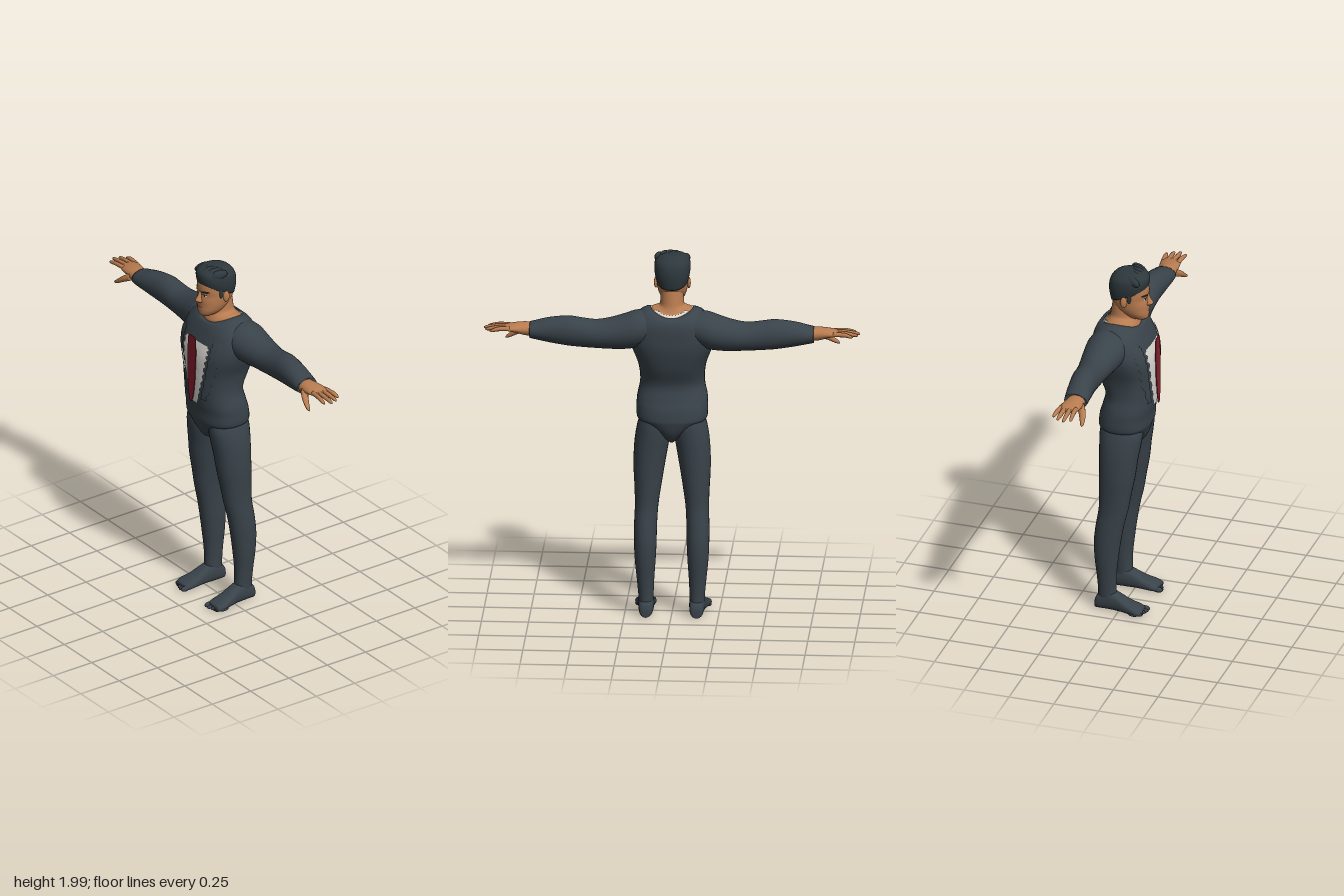
import * as THREE from 'three';

const mat = (name, color, side = THREE.FrontSide) => {
  const m = new THREE.MeshStandardMaterial({ color, side });
  m.name = name;
  return m;
};

// Catmull-Rom resampling of cross-section rows
function smooth(rows, k = 5) {
  const out = [], at = i => rows[Math.min(Math.max(i, 0), rows.length - 1)];
  for (let i = 0; i < rows.length - 1; i++)
    for (let j = 0; j < k; j++) {
      const t = j / k;
      out.push(rows[i].map((b, c) => {
        const a = at(i - 1)[c], d = at(i + 1)[c], e = at(i + 2)[c];
        return b + 0.5 * t * (d - a + t * (2 * a - 5 * b + 4 * d - e + t * (3 * (b - d) + e - a)));
      }));
    }
  out.push(rows.at(-1));
  return out;
}

// Skin closed rings of points into one smooth solid that faces outward
function loft(rings, capEnd = true) {
  const n = rings[0].length, pts = rings.flat(), idx = [];
  for (let i = 0; i < rings.length - 1; i++)
    for (let j = 0; j < n; j++) {
      const a = i * n + j, b = i * n + (j + 1) % n;
      idx.push(a, b, a + n, b, b + n, a + n);
    }
  const cap = (r, flip) => {
    const c = new THREE.Vector3();
    rings[r].forEach(p => c.addScaledVector(p, 1 / n));
    const id = pts.push(c) - 1;
    for (let j = 0; j < n; j++) {
      const a = r * n + j, b = r * n + (j + 1) % n;
      idx.push(id, flip ? b : a, flip ? a : b);
    }
  };
  cap(0, true);
  if (capEnd) cap(rings.length - 1, false);
  const mid = pts.reduce((s, p) => s.addScaledVector(p, 1 / pts.length), new THREE.Vector3());
  const q = pts.map(p => p.clone().sub(mid)), tmp = new THREE.Vector3();
  let vol = 0;
  for (let i = 0; i < idx.length; i += 3) vol += q[idx[i]].dot(tmp.crossVectors(q[idx[i + 1]], q[idx[i + 2]]));
  if (vol < 0) idx.reverse();
  const g = new THREE.BufferGeometry().setFromPoints(pts);
  g.setIndex(idx);
  g.computeVertexNormals();
  return g;
}

// Superellipse points in the unit square
const unitRing = (n, count) => Array.from({ length: count }, (_, i) => {
  const a = i / count * Math.PI * 2, f = v => Math.sign(v) * Math.abs(v) ** (2 / n);
  return [f(Math.cos(a)), f(Math.sin(a))];
});
// Row: y, half width, front z, back z, exponent, side lift, front lift
const bodyRing = ([y, w, zf, zb, n, lift, tilt]) => unitRing(n, 40).map(([u, v]) =>
  new THREE.Vector3(u * w, y + lift * u * u + tilt * v, (zf + zb) / 2 + v * (zf - zb) / 2));
// Row along x: x, top y, bottom y, front z, back z
const armRing = (s, count) => ([x, t, b, zf, zb]) => unitRing(2, count).map(([u, v]) =>
  new THREE.Vector3(s * x, (t + b) / 2 + v * (t - b) / 2, (zf + zb) / 2 + u * (zf - zb) / 2));

// Front surface of a body at x, y
function frontZ(rows, x, y) {
  let i = rows.findIndex(r => r[0] >= y);
  if (i < 1) i = 1;
  const t = (y - rows[i - 1][0]) / (rows[i][0] - rows[i - 1][0]);
  const [, w, zf, zb, n] = rows[i].map((v, c) => rows[i - 1][c] + t * (v - rows[i - 1][c]));
  return (zf + zb) / 2 + (zf - zb) / 2 * Math.max(0, 1 - Math.abs(x / w) ** n) ** (1 / n);
}
// Thin patch laid on a body's front; outline rows: y, x from, x to (rising y)
function patch(body, outline, off, s = 1) {
  const C = 12, pts = [], idx = [];
  outline.forEach(([y, a, b], r) => {
    for (let c = 0; c <= C; c++) {
      const x = s * (a + (b - a) * c / C);
      pts.push(new THREE.Vector3(x, y, frontZ(body, x, y) + off));
      if (r && c) {
        const p = r * (C + 1) + c, q = p - C - 1;
        idx.push(q - 1, q, p, q - 1, p, p - 1);
      }
    }
  });
  if (s < 0) idx.reverse();
  const g = new THREE.BufferGeometry().setFromPoints(pts);
  g.setIndex(idx);
  g.computeVertexNormals();
  return g;
}

export function createModel() {
  const root = new THREE.Group();
  root.name = 'standingMan';
  const suit = mat('charcoalSuit', 0x39434a), skin = mat('skin', 0xb97c50), hairM = mat('darkHair', 0x2e383d);
  const cloth = mat('whiteShirt', 0xdad8d2, THREE.DoubleSide), red = mat('redTie', 0x84202e);
  const dark = mat('darkFeature', 0x1c1a1a, THREE.DoubleSide), lip = mat('lips', 0x955a42, THREE.DoubleSide);
  const lapelM = mat('charcoalLapel', 0x39434a, THREE.DoubleSide);
  const add = (name, g, m) => {
    const mesh = new THREE.Mesh(g, m);
    mesh.name = name;
    root.add(mesh);
    return mesh;
  };

  // Jacket body, running down to the crotch
  const torso = smooth([
    [0.955, 0.015, 0.05, -0.07, 2, 0, 0], [0.98, 0.05, 0.09, -0.1, 2, 0, 0], [1.02, 0.1, 0.115, -0.125, 2.1, 0, 0],
    [1.07, 0.17, 0.13, -0.14, 2.3, 0, 0], [1.095, 0.188, 0.137, -0.142, 2.4, 0, 0], [1.15, 0.19, 0.14, -0.135, 2.4, 0, 0],
    [1.2, 0.187, 0.147, -0.12, 2.4, 0, 0], [1.28, 0.172, 0.152, -0.107, 2.4, 0, 0], [1.38, 0.18, 0.155, -0.145, 2.5, 0, 0],
    [1.48, 0.215, 0.152, -0.168, 2.6, 0, 0], [1.55, 0.228, 0.135, -0.172, 2.6, 0, 0], [1.61, 0.215, 0.11, -0.17, 2.5, 0.015, 0],
    [1.645, 0.175, 0.093, -0.16, 2.3, 0.03, 0], [1.66, 0.14, 0.082, -0.145, 2.1, 0.037, 0], [1.663, 0.112, 0.068, -0.128, 2, 0.037, 0]]);
  add('jacket', loft(torso.map(bodyRing), false), suit);

  // Neck and bare collar area
  add('neck', loft(smooth([
    [1.6, 0.12, 0.06, -0.13, 2, 0.03, 0], [1.66, 0.11, 0.067, -0.126, 2, 0.035, 0], [1.685, 0.084, 0.06, -0.105, 2, 0.022, 0],
    [1.712, 0.066, 0.05, -0.093, 2, 0.005, 0], [1.75, 0.062, 0.045, -0.087, 2, 0, 0], [1.8, 0.06, 0.04, -0.08, 2, 0, 0]]).map(bodyRing)), skin);

  // Ragged shirt collar behind the neck
  const cp = [], ci = [];
  for (let i = 0; i <= 24; i++) {
    const a = Math.PI * (1.2 + 0.6 * i / 24), c = Math.cos(a), d = Math.sin(a), r = i % 2 ? 0.94 : 0.84;
    cp.push(new THREE.Vector3(0.114 * c, 1.667 + 0.037 * c * c, -0.03 + 0.101 * d));
    cp.push(new THREE.Vector3(0.114 * r * c, 1.678 + 0.037 * c * c, -0.03 + 0.101 * r * d));
    if (i) ci.push(2 * i - 2, 2 * i - 1, 2 * i, 2 * i, 2 * i - 1, 2 * i + 1);
  }
  const collar = new THREE.BufferGeometry().setFromPoints(cp);
  collar.setIndex(ci);
  collar.computeVertexNormals();
  add('shirtCollar', collar, cloth);

  // Ragged shirt front
  const shirt = smooth([[1.2, 0.03], [1.28, 0.052], [1.36, 0.075], [1.45, 0.094], [1.52, 0.105], [1.565, 0.1]], 4)
    .map(([y, h], i) => [y, -h * (i % 3 ? 0.93 : 1.1), h * (i % 2 ? 0.92 : 1.08)]);
  add('shirtFront', patch(torso, shirt, 0.007), cloth);

  // Loose tie hanging just off the chest
  const half = [[1.6, 0.024], [1.585, 0.033], [1.5, 0.037], [1.36, 0.033], [1.26, 0.022], [1.21, 0.008]];
  const tieShape = new THREE.Shape();
  tieShape.setFromPoints([...half.map(([y, x]) => new THREE.Vector2(-x, y - 1.4)),
    ...half.slice().reverse().map(([y, x]) => new THREE.Vector2(x, y - 1.4))]);
  const tie = add('tie', new THREE.ExtrudeGeometry(tieShape, { depth: 0.005, bevelEnabled: false }), red);
  tie.position.set(0, 1.4, 0.167);
  tie.rotation.x = -0.02;

  // Head
  const head = smooth([
    [1.703, 0.025, 0.1, 0.05, 2.2, 0, 0], [1.715, 0.043, 0.114, 0.0, 2.2, 0, 0], [1.74, 0.062, 0.118, -0.03, 2.2, 0, 0],
    [1.77, 0.074, 0.117, -0.06, 2.2, 0, 0], [1.8, 0.08, 0.117, -0.08, 2.2, 0, 0], [1.83, 0.083, 0.112, -0.087, 2.2, 0, 0],
    [1.86, 0.084, 0.116, -0.09, 2.2, 0, 0], [1.9, 0.084, 0.112, -0.09, 2.2, 0, 0], [1.94, 0.076, 0.095, -0.08, 2.2, 0, 0],
    [1.97, 0.03, 0.04, -0.03, 2.2, 0, 0]]);
  add('head', loft(head.map(bodyRing)), skin);
  add('nose', loft(smooth([
    [1.788, 0.013, 0.124, 0.09, 2, 0, 0], [1.795, 0.019, 0.137, 0.09, 2, 0, 0], [1.805, 0.017, 0.144, 0.09, 2, 0, 0],
    [1.825, 0.011, 0.131, 0.09, 2, 0, 0], [1.855, 0.008, 0.118, 0.09, 2, 0, 0]], 3).map(bodyRing)), skin);
  add('mouth', patch(head, [[1.755, -0.012, 0.012], [1.76, -0.022, 0.022], [1.764, -0.028, 0.028], [1.769, -0.012, 0.012]], 0.003), lip);

  // Hair cap with a swept, wavy front
  add('hair', loft(smooth([
    [1.85, 0.085, 0.112, -0.087, 2.2, 0, 0.045], [1.885, 0.094, 0.118, -0.096, 2.2, 0, 0.035], [1.92, 0.096, 0.118, -0.098, 2.2, 0, 0.025],
    [1.95, 0.09, 0.108, -0.088, 2.2, 0, 0.013], [1.973, 0.066, 0.082, -0.062, 2.1, 0, 0.005], [1.983, 0.03, 0.045, -0.03, 2, 0, 0]]).map(bodyRing)), hairM);
  for (let i = 0; i < 6; i++) {
    const x = -0.065 + i * 0.027;
    const lock = add('hairLock', new THREE.SphereGeometry(1, 14, 10), hairM);
    lock.scale.set(0.022, 0.026, 0.05);
    lock.position.set(x, 1.953 + 0.009 * Math.cos((x - 0.02) * 25), 0.068 - Math.abs(x) * 0.35);
    lock.rotation.set(0.25, -0.35, 0.2);
  }

  for (const s of [1, -1]) {
    const side = s > 0 ? 'left' : 'right';
    // Face details
    add(side + 'Brow', patch(head, [[1.853, 0.014, 0.05], [1.86, 0.018, 0.062], [1.865, 0.035, 0.055]], 0.004, s), dark);
    add(side + 'EyeWhite', patch(head, [[1.829, 0.028, 0.038], [1.833, 0.021, 0.045], [1.837, 0.021, 0.046], [1.841, 0.027, 0.04]], 0.003, s), cloth);
    add(side + 'Iris', patch(head, [[1.829, 0.031, 0.035], [1.835, 0.028, 0.038], [1.842, 0.03, 0.036]], 0.004, s), dark);
    add(side + 'Eyelid', patch(head, [[1.84, 0.019, 0.048], [1.845, 0.025, 0.044]], 0.0045, s), dark);
    const ear = add(side + 'Ear', new THREE.SphereGeometry(1, 16, 12), skin);
    ear.scale.set(0.01, 0.032, 0.018);
    ear.position.set(s * 0.087, 1.825, 0.005);
    ear.rotation.y = s * -0.3;
    const burn = add(side + 'Sideburn', new THREE.SphereGeometry(1, 12, 8), hairM);
    burn.scale.set(0.007, 0.034, 0.012);
    burn.position.set(s * 0.08, 1.85, 0.033);

    // Ragged lapel layer beside the shirt
    const lapel = smooth([[1.24, 0.055, 0.1], [1.36, 0.085, 0.14], [1.48, 0.11, 0.175], [1.56, 0.115, 0.19], [1.6, 0.12, 0.17]], 4)
      .map(([y, a, b], i) => [y, a + (i % 2) * 0.008, b - (i % 2) * 0.01]);
    add(side + 'Lapel', patch(torso, lapel, 0.008, s), lapelM);

    // Sleeve
    add(side + 'Sleeve', loft(smooth([
      [0.1, 1.68, 1.52, 0.04, -0.15], [0.18, 1.685, 1.485, 0.055, -0.167], [0.25, 1.665, 1.475, 0.042, -0.165],
      [0.32, 1.645, 1.475, 0.025, -0.158], [0.4, 1.632, 1.478, 0.012, -0.148], [0.48, 1.64, 1.482, 0.008, -0.14],
      [0.55, 1.648, 1.487, 0.008, -0.135], [0.65, 1.635, 1.5, 0.015, -0.122], [0.72, 1.615, 1.513, 0.02, -0.112],
      [0.755, 1.605, 1.52, 0.02, -0.106]], 4).map(armRing(s, 28))), suit);

    // Hand
    add(side + 'Palm', loft(smooth([
      [0.73, 1.6, 1.53, 0.01, -0.085], [0.78, 1.603, 1.532, 0.013, -0.088], [0.83, 1.598, 1.548, 0.013, -0.096],
      [0.875, 1.589, 1.56, 0.008, -0.1], [0.895, 1.582, 1.567, 0.0, -0.094]], 4).map(armRing(s, 20))), skin);
    const digit = (name, rows) => add(side + name, loft(smooth(
      rows.map(([x, y, z, r]) => [x, y + r, y - r, z + r, z - r]), 4).map(armRing(s, 10))), skin);
    [[-0.087, 0.965, -0.097], [-0.061, 0.99, -0.066], [-0.033, 1, -0.032], [-0.006, 0.98, 0.002]].forEach(([z, tip, zt]) =>
      digit('Finger', [[0.86, 1.577, z, 0.012], [0.92, 1.577, (z + zt) / 2, 0.012], [tip - 0.015, 1.57, zt, 0.009], [tip, 1.567, zt, 0.003]]));
    digit('Thumb', [[0.785, 1.56, -0.005, 0.025], [0.825, 1.537, 0.018, 0.02], [0.86, 1.512, 0.03, 0.014], [0.88, 1.5, 0.034, 0.009], [0.888, 1.495, 0.036, 0.003]]);

    // Trouser leg: y, inner x, outer x, front z, back z
    add(side + 'Leg', loft(smooth([
      [1.11, 0.02, 0.165, 0.1, -0.11], [1.05, 0.01, 0.184, 0.113, -0.12], [0.98, 0.012, 0.197, 0.105, -0.12],
      [0.9, 0.025, 0.204, 0.092, -0.117], [0.8, 0.042, 0.205, 0.08, -0.115], [0.7, 0.058, 0.2, 0.062, -0.114],
      [0.6, 0.072, 0.197, 0.045, -0.115], [0.5, 0.078, 0.2, 0.022, -0.13], [0.4, 0.08, 0.2, 0.005, -0.14],
      [0.3, 0.085, 0.195, -0.008, -0.136], [0.2, 0.092, 0.185, -0.018, -0.125], [0.1, 0.096, 0.176, -0.018, -0.118],
      [0.04, 0.098, 0.174, -0.005, -0.122]], 4).map(([y, a, b, zf, zb]) => unitRing(2.1, 28).map(([u, v]) =>
      new THREE.Vector3(s * ((a + b) / 2 + u * (b - a) / 2), y, (zf + zb) / 2 + v * (zf - zb) / 2)))), suit);

    // Foot: z, centre x, half width, top y
    add(side + 'Foot', loft(smooth([
      [-0.136, 0.135, 0.018, 0.045], [-0.12, 0.135, 0.035, 0.08], [-0.06, 0.135, 0.042, 0.115], [-0.01, 0.138, 0.043, 0.1],
      [0.05, 0.143, 0.05, 0.067], [0.1, 0.147, 0.057, 0.047], [0.135, 0.146, 0.048, 0.034]], 4).map(([z, x, w, t]) =>
      unitRing(2.5, 24).map(([u, v]) => new THREE.Vector3(s * (x + u * w), t / 2 * (1 + v), z)))), suit);
    for (let i = 0; i < 5; i++) {
      const toe = add(side + 'Toe', new THREE.SphereGeometry(1, 12, 8), suit);
      const r = i ? 0.011 : 0.015;
      toe.scale.set(r, r, 0.028);
      toe.position.set(s * (0.108 + i * 0.021), r + 0.002, 0.133 - i * i * 0.0025);
    }
  }
  return root;
}
